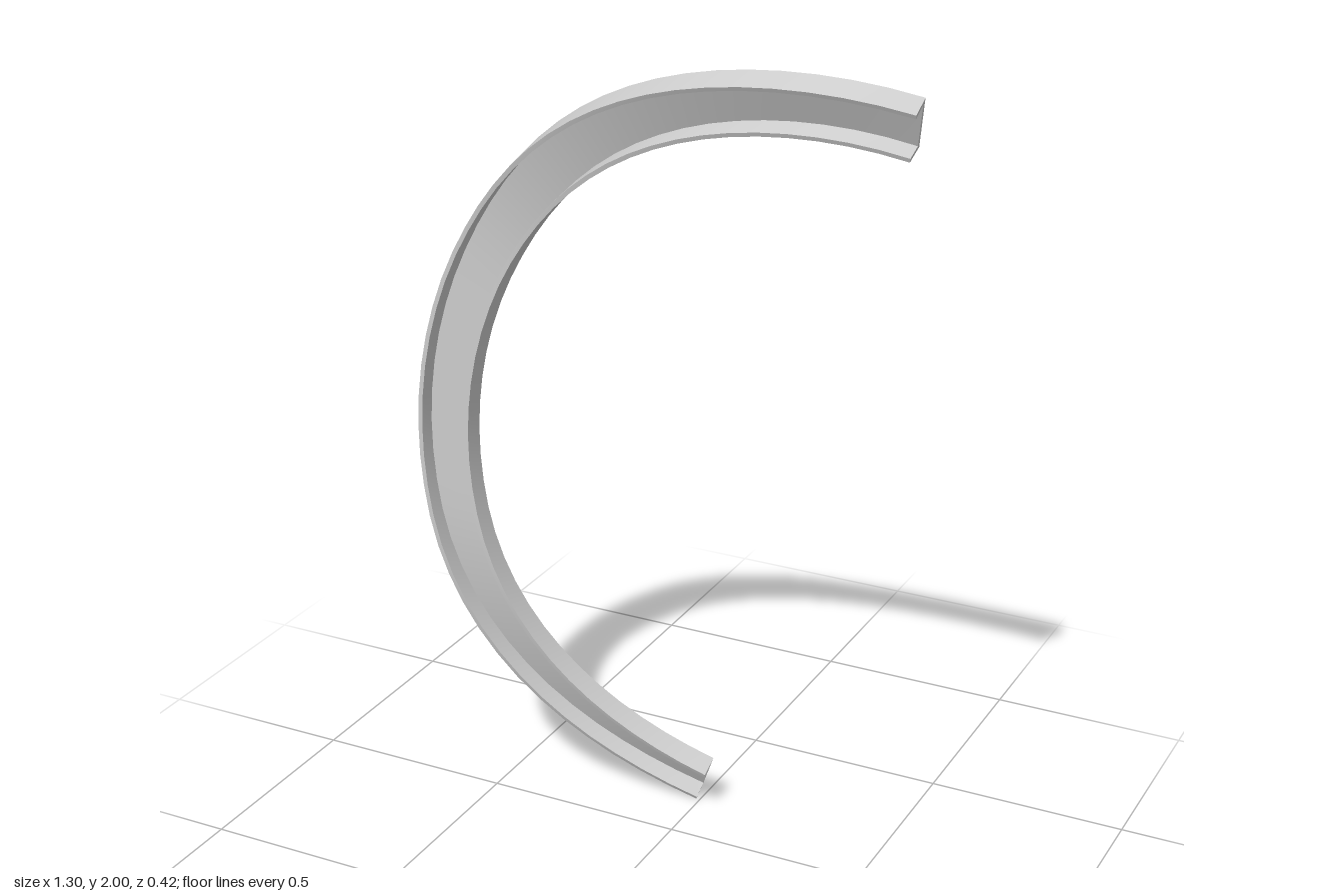
import * as THREE from 'three';

const CX = 0.409, CY = 0.964;            // centre of the arc
const R_IN = 0.925, R_OUT = 1.064;       // channel edges
const START = THREE.MathUtils.degToRad(76.9), END = THREE.MathUtils.degToRad(246.8);
const DEPTH = 0.054, WALL = 0.011, STEPS = 40;
const BACK_Z = 0.005;

// U-shaped section (radius, depth), open towards the front
const section = [
  [R_IN, 0], [R_OUT, 0], [R_OUT, DEPTH], [R_OUT - WALL, DEPTH],
  [R_OUT - WALL, WALL], [R_IN + WALL, WALL], [R_IN + WALL, DEPTH], [R_IN, DEPTH],
].map(([r, d]) => new THREE.Vector2(r, d));

// Flat arc point, rolled forward above the straight middle and backward below it
function bentPoint(angle, { x: r, y: d }) {
  const x = CX + r * Math.cos(angle);
  let y = CY + r * Math.sin(angle), z = BACK_Z, t = 0;
  const bend = (from, radius, sign) => {
    t = Math.abs(y - from) / radius;
    y = from + sign * radius * Math.sin(t);
    z += sign * radius * (1 - Math.cos(t));
  };
  if (y > 1.4) bend(1.4, 1.205, 1);
  else if (y < 0.78) bend(0.78, 1.45, -1);
  return [x, y - d * Math.sin(t), z + d * Math.cos(t)];
}

function channelGeometry() {
  const positions = [], index = [];
  const add = (angle, p) => positions.push(...bentPoint(angle, p)) / 3 - 1;

  // One smooth strip per section edge, with hard corners between strips
  section.forEach((a, k) => {
    const b = section[(k + 1) % section.length];
    for (let i = 0; i <= STEPS; i++) {
      const angle = START + (END - START) * i / STEPS;
      const p = add(angle, a), q = add(angle, b);
      if (i < STEPS) index.push(p, p + 2, q + 2, p, q + 2, q);
    }
  });

  // End caps
  const faces = THREE.ShapeUtils.triangulateShape(section, []);
  for (const angle of [START, END]) {
    const first = positions.length / 3;
    section.forEach((p) => add(angle, p));
    for (const [a, b, c] of faces) {
      if (angle === START) index.push(first + a, first + b, first + c);
      else index.push(first + a, first + c, first + b);
    }
  }

  const geometry = new THREE.BufferGeometry();
  geometry.setAttribute('position', new THREE.Float32BufferAttribute(positions, 3));
  geometry.setIndex(index);
  geometry.computeVertexNormals();
  return geometry;
}

export function createModel() {
  const group = new THREE.Group();
  group.name = 'curvedChannel';
  const rail = new THREE.Mesh(channelGeometry(), new THREE.MeshStandardMaterial({ color: 0xcccccc }));
  rail.name = 'channelRail';
  group.add(rail);
  return group;
}
